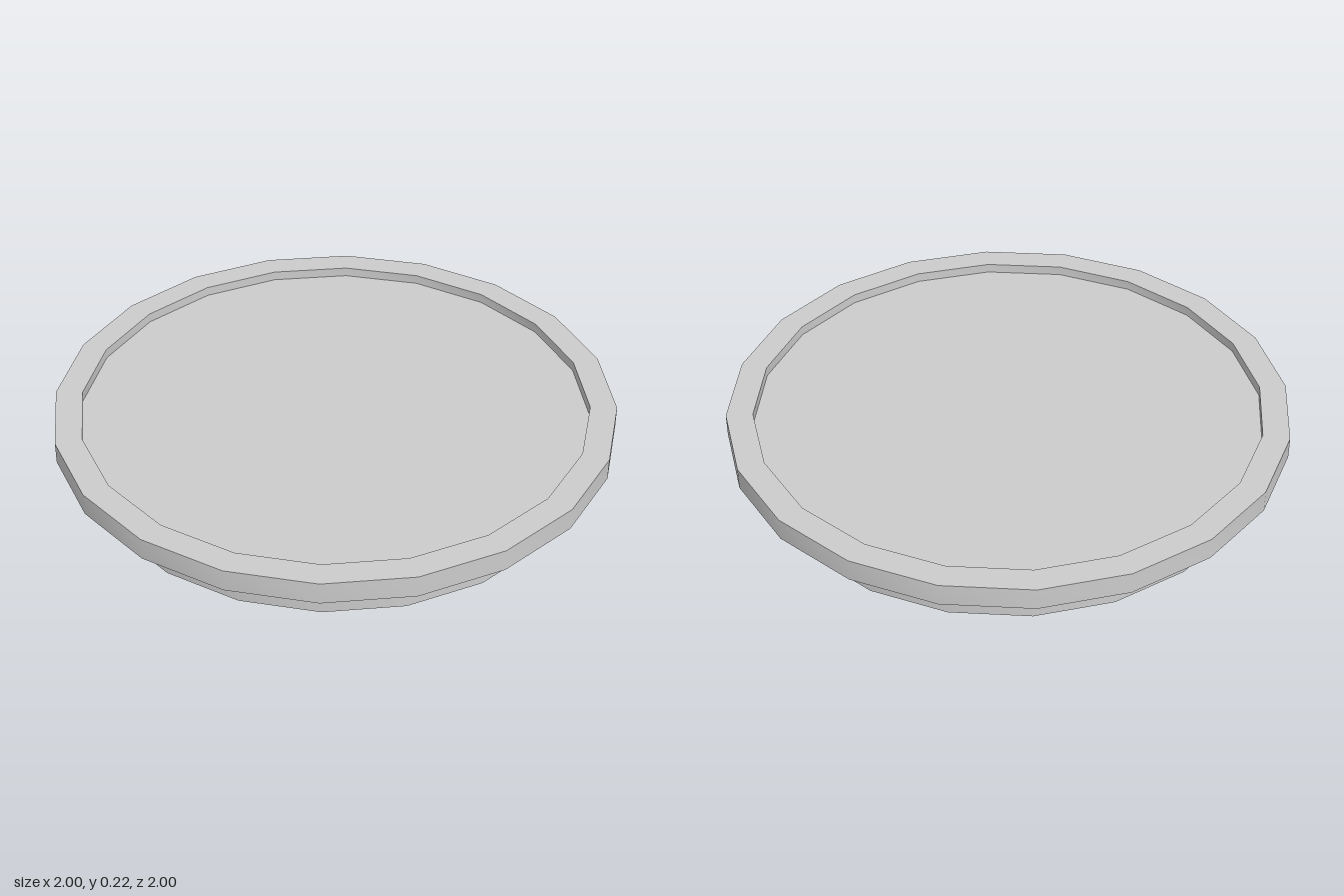
import * as THREE from 'three';
import { toCreasedNormals } from 'three/addons/utils/BufferGeometryUtils.js';

const SIDES = 20;

// Revolves a [radius, height] profile; smooth around, sharp along profile corners
function turned(name, profile, material) {
  const points = profile.map(([r, y]) => new THREE.Vector2(r, y));
  const geometry = toCreasedNormals(new THREE.LatheGeometry(points, SIDES), Math.PI / 6);
  const mesh = new THREE.Mesh(geometry, material);
  mesh.name = name;
  return mesh;
}

export function createModel() {
  const material = new THREE.MeshStandardMaterial({ color: 0xcccccc });
  const group = new THREE.Group();
  group.name = 'roundTray';

  // Narrower foot with a very slightly dished underside
  group.add(turned('foot', [[0, 0.004], [0.7, 0.004], [0.89, 0], [0.89, 0.1]], material));

  // Wide rim: sloped underside, upright edge, flat lip and short inner wall
  group.add(turned('rim', [[0.89, 0.1], [1, 0.135], [1, 0.215], [0.905, 0.215], [0.905, 0.18]], material));

  // Sunken flat floor
  group.add(turned('floor', [[0.905, 0.18], [0, 0.18]], material));

  return group;
}
